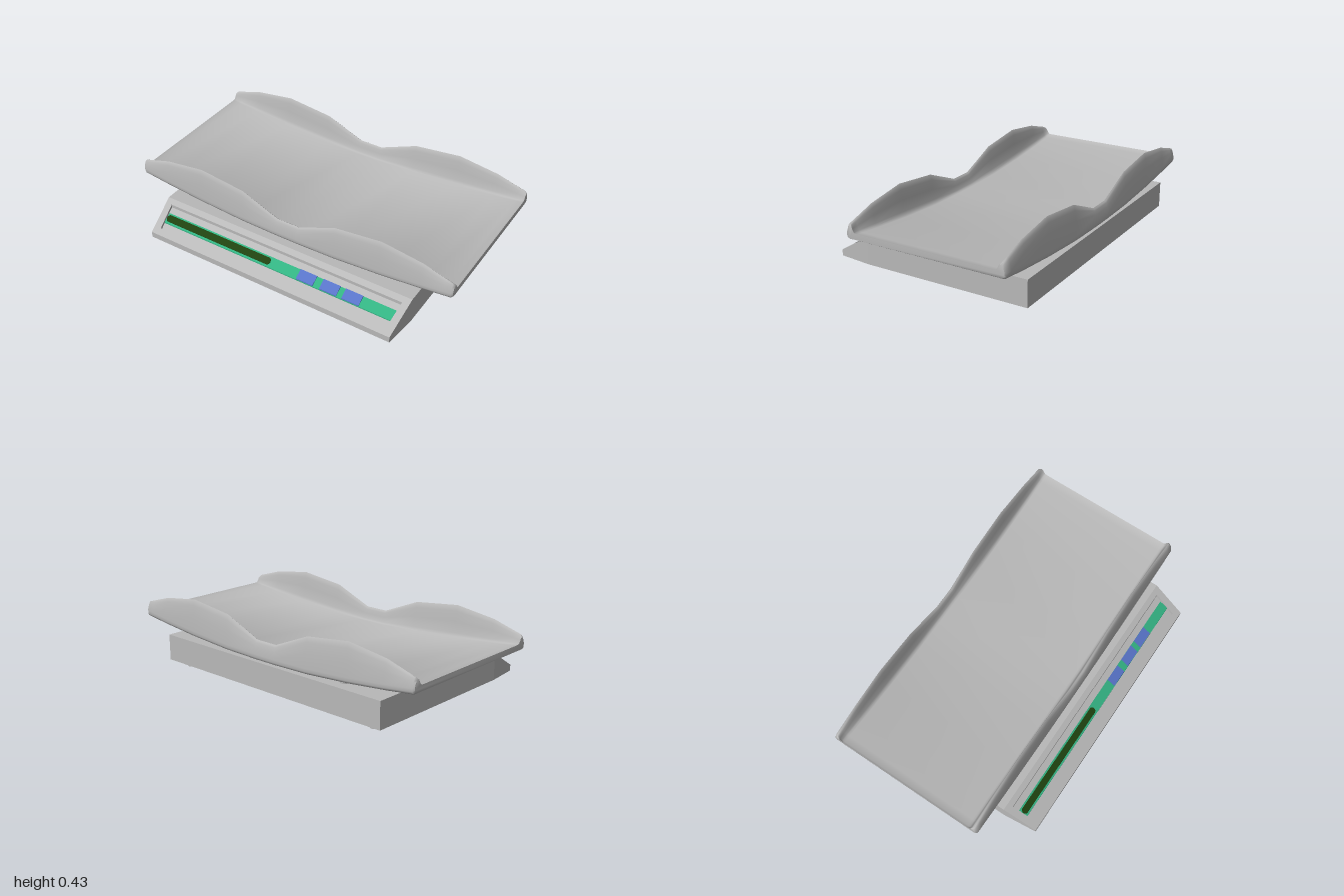
import * as THREE from 'three';
import { toCreasedNormals } from 'three/addons/utils/BufferGeometryUtils.js';

const paint = (name, color) => {
  const m = new THREE.MeshStandardMaterial({ color });
  m.name = name;
  return m;
};

export function createModel() {
  const grey = paint('shell grey', 0xb8b8b8);
  const green = paint('panel green', 0x33b282);
  const blue = paint('button blue', 0x5873c8);
  const dark = paint('display dark green', 0x1f4210);

  const model = new THREE.Group();
  model.name = 'infantScale';
  const add = (name, geo, mat, x = 0, y = 0, z = 0) => {
    const mesh = new THREE.Mesh(geo, mat);
    mesh.name = name;
    mesh.position.set(x, y, z);
    model.add(mesh);
    return mesh;
  };

  // Base: a box behind, a tapered wedge in front
  const BACK = -0.585, MID = 0.39, FRONT = 0.585, FLOOR = 0.035, TOP = 0.187, NOSE = 0.07;
  const RECESS = 0.019;
  add('baseBox', new THREE.BoxGeometry(1.6, TOP - FLOOR, MID - BACK), grey,
    0, (TOP + FLOOR) / 2, (MID + BACK) / 2);

  const shapeOf = (pts) => new THREE.Shape(pts.map(([a, b]) => new THREE.Vector2(a, b)));
  const wedge = new THREE.ExtrudeGeometry(
    shapeOf([[-FRONT, FLOOR], [-MID, FLOOR], [-MID, TOP - RECESS], [-FRONT, NOSE - RECESS]]),
    { depth: 1.6, bevelEnabled: false });
  wedge.translate(0, 0, -0.8).rotateY(Math.PI / 2);
  const wp = wedge.attributes.position;
  for (let i = 0; i < wp.count; i++) {
    if (wp.getZ(i) > 0.5) wp.setX(i, Math.sign(wp.getX(i)) * 0.78);
  }
  wedge.computeVertexNormals();
  add('baseFront', wedge, grey);

  // Panel pieces are drawn in plan (x, -z), then sheared onto the sloping front
  const onSlope = (name, shape, lift, thick, mat) => {
    const geo = new THREE.ExtrudeGeometry(shape, { depth: thick, bevelEnabled: false, curveSegments: 8 });
    geo.rotateX(-Math.PI / 2);
    const p = geo.attributes.position;
    for (let i = 0; i < p.count; i++) {
      const rise = (FRONT - p.getZ(i)) * (TOP - NOSE) / (FRONT - MID);
      p.setY(i, p.getY(i) + NOSE - RECESS + lift + rise);
    }
    geo.computeVertexNormals();
    return add(name, geo, mat);
  };
  const rect = (x0, x1, z0, z1) => shapeOf([[x0, -z1], [x1, -z1], [x1, -z0], [x0, -z0]]);

  // Raised frame around the control panel
  const frame = shapeOf([[-0.78, -FRONT], [0.78, -FRONT], [0.8, -MID], [-0.8, -MID]]);
  frame.holes.push(shapeOf([[-0.74, -0.55], [-0.757, -0.42], [0.757, -0.42], [0.74, -0.55]]));
  onSlope('panelFrame', frame, 0, RECESS, grey);

  // Panel strip, display and buttons
  onSlope('panelStrip', rect(-0.747, 0.747, 0.455, 0.507), 0, 0.006, green);
  const pill = new THREE.Shape();
  pill.absarc(-0.04, -0.481, 0.017, -Math.PI / 2, Math.PI / 2);
  pill.absarc(-0.728, -0.481, 0.017, Math.PI / 2, Math.PI * 1.5);
  onSlope('display', pill, 0.006, 0.003, dark);
  for (const [a, b] of [[0.16, 0.265], [0.307, 0.412], [0.445, 0.55]]) {
    onSlope('button', rect(a, b, 0.456, 0.506), 0.006, 0.005, blue);
  }

  // Feet and tray supports
  for (const side of [-1, 1]) {
    for (const z of [0.49, -0.505]) {
      add('foot', new THREE.CylinderGeometry(0.024, 0.024, 0.04, 20), grey, side * 0.7, 0.02, z);
    }
    for (const z of [0.28, -0.505]) {
      add('traySupport', new THREE.CylinderGeometry(0.024, 0.024, 0.04, 20), grey, side * 0.5, 0.2, z);
    }
  }

  // Tray: half of the stations along x as [x, underside, wall top, half depth]
  const half = [
    [0.07, 0.195, 0.305, 0.471], [0.3, 0.2, 0.4, 0.471], [0.58, 0.219, 0.433, 0.471],
    [0.82, 0.243, 0.4, 0.471], [0.95, 0.259, 0.361, 0.471], [0.99, 0.264, 0.349, 0.471],
    [1, 0.27, 0.338, 0.464],
  ];
  const stations = [...half.map(([x, ...r]) => [-x, ...r]).reverse(), ...half];
  const ring = ([, b, t, h]) => {
    const f = b + 0.033, w = t - f;
    const front = [
      [h - 0.014, b], [h - 0.004, b + 0.005], [h, b + 0.016], [h, f],
      [h - 0.006, f + w * 0.5], [h - 0.012, f + w * 0.82], [h - 0.017, t - w * 0.05],
      [h - 0.022, t], [h - 0.027, t - w * 0.05], [h - 0.032, f + w * 0.82],
      [h - 0.037, f + w * 0.5], [h - 0.045, f + w * 0.15], [h - 0.051, f + w * 0.05], [h - 0.062, f],
    ];
    return [...front, ...front.map(([z, y]) => [-z, y]).reverse()];
  };
  const rings = stations.map(ring);
  const n = rings[0].length, last = rings.length - 1;
  const pos = [], index = [];
  rings.forEach((r, i) => r.forEach(([z, y]) => pos.push(stations[i][0], y, z - 0.114)));
  for (let i = 0; i < last; i++) {
    for (let j = 0; j < n; j++) {
      const k = (j + 1) % n;
      const a = i * n + j, b = a + n, c = (i + 1) * n + k, d = i * n + k;
      index.push(a, b, c, a, c, d);
    }
  }
  const outline = rings[0].map(([z, y]) => new THREE.Vector2(z, y));
  for (const [a, b, c] of THREE.ShapeUtils.triangulateShape(outline, [])) {
    const e = last * n;
    index.push(a, b, c, e + c, e + b, e + a);
  }
  const tray = new THREE.BufferGeometry();
  tray.setAttribute('position', new THREE.Float32BufferAttribute(pos, 3));
  tray.setIndex(index);
  add('tray', toCreasedNormals(tray, 0.9), grey);

  return model;
}
